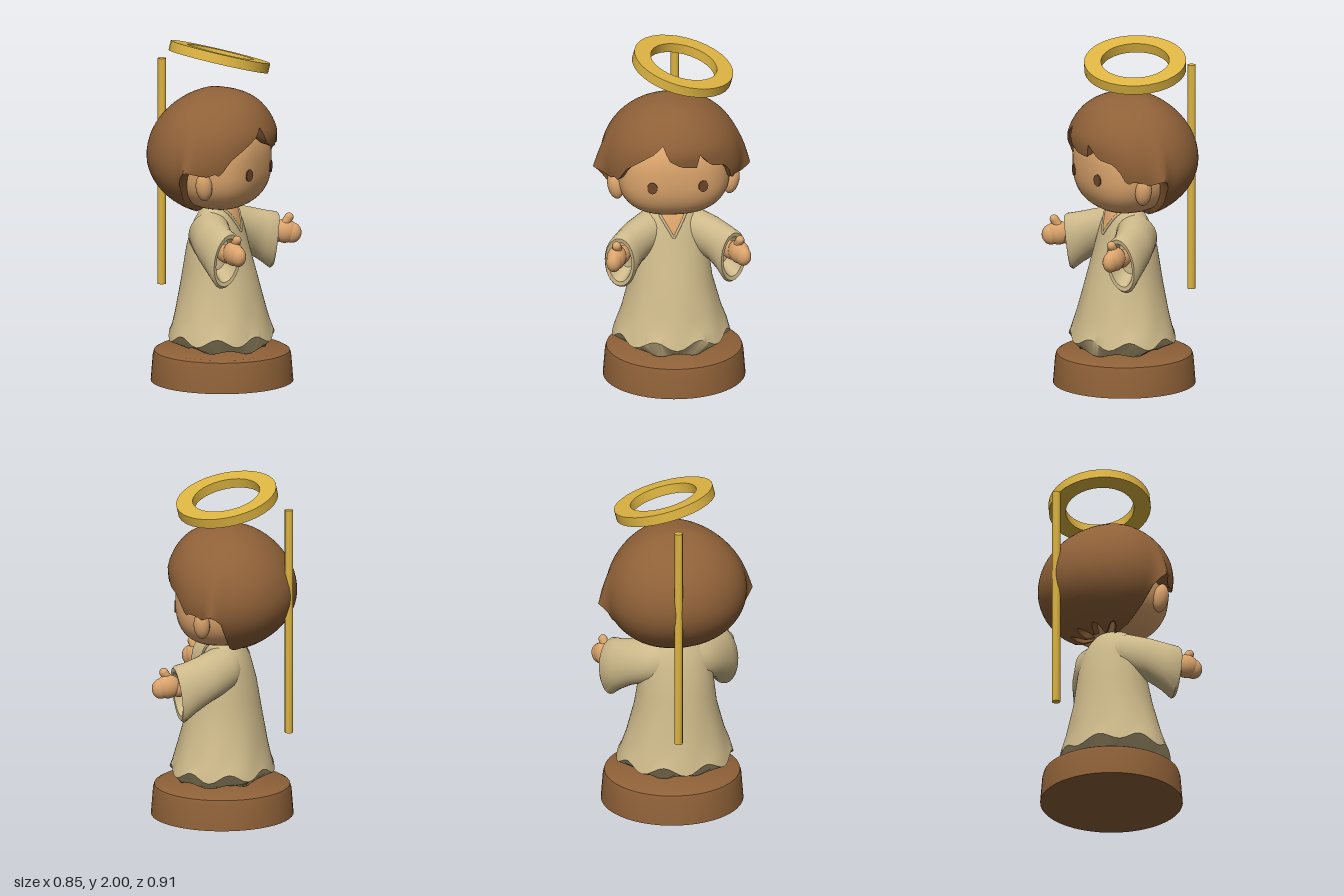
import * as THREE from 'three';
import { toCreasedNormals } from 'three/addons/utils/BufferGeometryUtils.js';

const V = (x, y, z) => new THREE.Vector3(x, y, z);
const mat = (name, color) => {
  const m = new THREE.MeshStandardMaterial({ color });
  m.name = name;
  return m;
};

// Skin a surface over a list of closed rings
function loft(rings, flip = false, crease = 0.9) {
  const n = rings[0].length, pos = [], idx = [];
  rings.forEach(r => r.forEach(p => pos.push(p.x, p.y, p.z)));
  const tri = (...t) => {
    const [a, b, c] = t.map(i => V().fromArray(pos, i * 3));
    if (b.sub(a).cross(c.sub(a)).length() > 1e-9) idx.push(...t);
  };
  for (let j = 0; j < rings.length - 1; j++) {
    for (let i = 0; i < n; i++) {
      const a = j * n + i, b = j * n + (i + 1) % n, c = a + n, d = b + n;
      if (flip) { tri(a, b, c); tri(b, d, c); } else { tri(a, c, b); tri(b, c, d); }
    }
  }
  const g = new THREE.BufferGeometry();
  g.setAttribute('position', new THREE.Float32BufferAttribute(pos, 3));
  g.setIndex(idx);
  return toCreasedNormals(g, crease);
}

const ring = (n, fn) => Array.from({ length: n }, (_, i) => fn(i / n * Math.PI * 2));

// Piecewise linear lookup in rows sorted by their first entry
function lookup(rows, t) {
  let k = 0;
  while (k < rows.length - 2 && t > rows[k + 1][0]) k++;
  const f = THREE.MathUtils.clamp((t - rows[k][0]) / (rows[k + 1][0] - rows[k][0]), 0, 1);
  return rows[k].map((v, i) => v + (rows[k + 1][i] - v) * f);
}

// Robe section: height, centre x, radius in x, radius in z
const ROBE = [[0.28, 0.015, 0.3, 0.338], [0.34, 0.012, 0.28, 0.317], [0.42, 0.01, 0.26, 0.287],
  [0.6, 0.003, 0.22, 0.24], [0.8, -0.01, 0.172, 0.215], [0.93, -0.01, 0.135, 0.195],
  [1.0, -0.005, 0.105, 0.15], [1.05, 0, 0.075, 0.09]];

// Hairline: azimuth in degrees from the face, height
const HAIRLINE = [[-180, 1.03], [-101, 1.02], [-93, 1.25], [-85, 1.285], [-76, 1.25], [-66, 1.27],
  [-60, 1.27], [-54, 1.25], [-48, 1.33], [-42, 1.37], [-28, 1.39], [-19, 1.47], [-15, 1.39], [-2, 1.4],
  [8, 1.44], [15, 1.53], [22, 1.48], [46, 1.36], [55, 1.27], [61, 1.29], [66, 1.27], [76, 1.28],
  [85, 1.305], [93, 1.25], [101, 1.02], [180, 1.03]];

function hairGeometry() {
  const rows = 28, cy = 1.33;
  const point = (a, v) => {
    const deg = a > Math.PI ? a * 180 / Math.PI - 360 : a * 180 / Math.PI;
    let tip = lookup(HAIRLINE, deg)[1];
    if (Math.abs(deg) > 101) tip += 0.02 * Math.cos(a * 11);
    const end = Math.acos((tip - cy) / (tip > cy ? 0.39 : 0.34));
    const phi = Math.min(end, v * 2.8), s = Math.sin(phi), c = Math.cos(phi);
    const y = cy + c * (c > 0 ? 0.39 : 0.34), front = Math.max(0, Math.cos(a));
    // Side locks flick outward at the tip, the fringe curls back in
    const flick = 1 + 0.13 * (phi / end) ** 5 * Math.exp(-(((Math.abs(deg) - 85) / 7) ** 2));
    const curl = 1 - 0.8 * front * Math.max(0, 1.48 - y);
    return V(-0.05 + Math.cos(a) * (front > 0 ? 0.395 * s ** 0.65 * curl : 0.37 * s ** 1.25),
      y, Math.sin(a) * 0.41 * s * flick);
  };
  const rings = [ring(96, a => {
    const p = point(a, 2);
    return V(p.x * 0.72, p.y + 0.025, p.z * 0.72);
  })];
  for (let j = rows; j >= 0; j--) rings.push(ring(96, a => point(a, j / rows)));
  return loft(rings);
}

export function createModel() {
  const model = new THREE.Group();
  const brown = mat('brown', 0x8f6138), skin = mat('skin', 0xdba46c), cloth = mat('robe cloth', 0xcdb98a);
  const gold = mat('gold', 0xdeb542), dark = mat('eye brown', 0x70462a);

  const add = (name, geo, material, pos = [0, 0, 0], parent = model) => {
    const m = new THREE.Mesh(geo, material);
    m.name = name;
    m.position.set(...pos);
    parent.add(m);
    return m;
  };
  const ball = (name, material, pos, size, yaw = 0, parent = model) => {
    const m = add(name, new THREE.SphereGeometry(1, 20, 14), material, pos, parent);
    m.scale.set(...size);
    m.rotation.y = yaw;
    return m;
  };
  const lathe = (pts, n) => toCreasedNormals(
    new THREE.LatheGeometry(pts.map(p => new THREE.Vector2(...p)), n), 0.6);

  // Round pedestal
  add('base', lathe([[0, 0], [0.412, 0], [0.4, 0.15], [0.392, 0.178], [0.37, 0.19], [0, 0.19]], 48),
    brown, [0.01, 0, -0.01]);
  add('feet', new THREE.CylinderGeometry(0.11, 0.12, 0.05, 20), brown, [-0.02, 0.205, 0]);

  // Robe with a scalloped hem that tucks under
  const robeRings = [
    ring(64, a => V(0.04 + 0.12 * Math.cos(a), 0.225, 0.12 * Math.sin(a))),
    ring(64, a => V(0.04 + 0.225 * Math.cos(a), 0.205 + 0.01 * Math.cos(a * 6), 0.225 * Math.sin(a))),
  ];
  const heights = [0.28, 0.34, 0.42, 0.51, 0.6, 0.7, 0.8, 0.87, 0.93, 0.97, 1.0, 1.03, 1.05];
  heights.forEach((h, j) => {
    const [, cx, rx, rz] = lookup(ROBE, h);
    const fold = j < 4 ? 0.018 * (1 - j / 4) : 0;
    robeRings.push(ring(64, a => {
      const k = 1 + fold * Math.cos(a * 8);
      return V(cx + rx * k * Math.cos(a), h - (j === 0 ? 0.024 * Math.cos(a * 8) : 0),
        rz * k * Math.sin(a) + 0.008);
    }));
  });
  add('robe', loft(robeRings), cloth);

  // Bare V at the neckline, bordered by a thin collar
  const onRobe = (y, z, lift) => {
    const [, cx, rx, rz] = lookup(ROBE, y);
    return V(cx + rx * Math.sqrt(Math.max(0, 1 - (z / rz) ** 2)) + lift, y, z + 0.008);
  };
  const vee = new THREE.PlaneGeometry(1, 1, 8, 10), vp = vee.attributes.position;
  for (let i = 0; i < vp.count; i++) {
    const t = vp.getY(i) + 0.5;
    const p = onRobe(0.9 + 0.14 * t, -vp.getX(i) * 0.17 * t, 0.006);
    vp.setXYZ(i, p.x, p.y, p.z);
  }
  vee.computeVertexNormals();
  add('neckOpening', vee, skin);
  add('neck', new THREE.CylinderGeometry(0.08, 0.085, 0.12, 20), skin, [0, 1.03, 0]);
  for (const s of [1, -1]) {
    const edge = [0, 0.25, 0.5, 0.75, 1].map(t => onRobe(0.89 + 0.15 * t, s * 0.088 * t, 0.004));
    add('collar', new THREE.TubeGeometry(new THREE.CatmullRomCurve3(edge), 12, 0.008, 6), cloth);
  }

  // Arms: wide open sleeves and raised hands
  for (const s of [1, -1]) {
    const arm = new THREE.Group();
    arm.name = s > 0 ? 'leftArm' : 'rightArm';
    model.add(arm);
    // Section: centre, width vector in x and z, height vector in x and y
    const sections = [
      [-0.025, 0.895, 0.05, -0.105, 0.02, 0.01, 0.125],
      [0.0, 0.885, 0.145, -0.115, 0.035, 0.01, 0.128],
      [0.075, 0.848, 0.235, -0.092, 0.06, 0.015, 0.135],
      [0.138, 0.811, 0.29, -0.066, 0.077, 0.02, 0.15],
      [0.188, 0.782, 0.324, -0.053, 0.086, 0.022, 0.168],
      [0.203, 0.782, 0.332, -0.048, 0.078, 0.02, 0.155],
      [0.2, 0.782, 0.33, -0.04, 0.062, 0.018, 0.13],
      [0.12, 0.81, 0.275, -0.035, 0.05, 0.012, 0.1],
      [0.11, 0.815, 0.27, -0.001, 0.001, 0, 0.002],
    ];
    const rings = sections.map(([x, y, z, wx, wz, hx, hy]) => ring(28, a => V(
      x + wx * Math.cos(a) + hx * Math.sin(a), y + hy * Math.sin(a), s * (z + wz * Math.cos(a)))));
    add('sleeve', loft(rings, s < 0), cloth, [0, 0, 0], arm);

    const yaw = -s * 0.55;
    ball('wrist', skin, [0.19, 0.82, s * 0.32], [0.085, 0.055, 0.046], yaw, arm);
    ball('palm', skin, [0.25, 0.832, s * 0.356], [0.075, 0.07, 0.054], yaw, arm);
    ball('fingers', skin, [0.287, 0.822, s * 0.374], [0.055, 0.06, 0.044], yaw, arm);
    const thumb = add('thumb', new THREE.CapsuleGeometry(0.026, 0.058, 6, 12), skin,
      [0.261, 0.891, s * 0.352], arm);
    thumb.rotation.set(s * 0.28, 0, -0.5);
  }

  // Head: a sphere squared off towards a flat face
  const headGeo = new THREE.SphereGeometry(1, 40, 28), hp = headGeo.attributes.position;
  const soft = (v, r) => Math.sign(v) * Math.abs(v) ** 0.8 * r;
  for (let i = 0; i < hp.count; i++) {
    hp.setXYZ(i, soft(hp.getX(i), 0.25), soft(hp.getY(i), 0.27), soft(hp.getZ(i), 0.33));
  }
  headGeo.computeVertexNormals();
  add('head', headGeo, skin, [0.02, 1.29, 0]);
  for (const s of [1, -1]) {
    ball('ear', skin, [0.055, 1.205, s * 0.338], [0.048, 0.085, 0.045], s * 0.4).rotation.x = s * 0.2;
    const eyeGeo = new THREE.CylinderGeometry(0.031, 0.031, 0.009, 20).rotateZ(-Math.PI / 2);
    eyeGeo.scale(1, 1.12, 0.95);
    add('eye', eyeGeo, dark, [0.256, 1.255, s * 0.148]).rotation.y = -s * 0.25;
  }
  add('hair', hairGeometry(), brown);

  // Tilted halo and its upright rod
  const halo = add('halo', lathe([[0.198, -0.029], [0.295, -0.029], [0.295, 0.029],
    [0.198, 0.029], [0.198, -0.029]], 32), gold, [-0.032, 1.89, -0.065]);
  halo.quaternion.setFromUnitVectors(V(0, 1, 0), V(0.15, 1, -0.24).normalize());
  add('rod', toCreasedNormals(new THREE.CylinderGeometry(0.025, 0.025, 1.33, 8), 0.9), gold,
    [-0.398, 1.185, -0.065]);

  return model;
}
